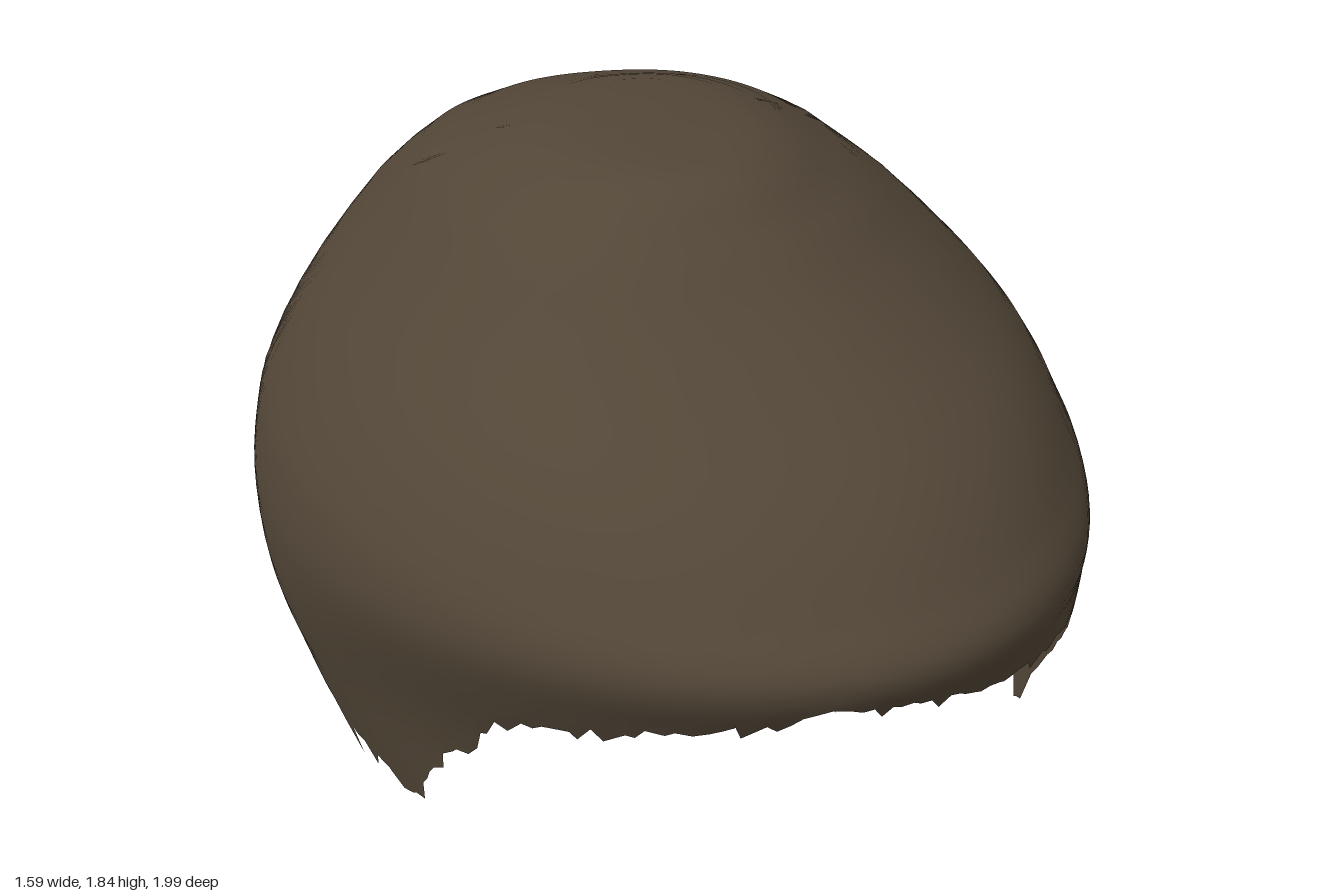
import * as THREE from 'three';

// Horizontal sections from crown to nape: y, right x, left x, front z, back z, centre x, centre z
const LEVELS = [
  [1.838, -0.04, -0.04, 0.05, 0.05, -0.04, 0.05],
  [1.83, -0.2, 0.12, 0.29, -0.2, -0.04, 0.04],
  [1.8, -0.3, 0.22, 0.37, -0.32, -0.04, 0.0],
  [1.72, -0.43, 0.36, 0.46, -0.58, -0.03, -0.06],
  [1.6, -0.54, 0.51, 0.6, -0.78, -0.01, -0.1],
  [1.45, -0.665, 0.65, 0.81, -0.88, 0, -0.1],
  [1.3, -0.755, 0.735, 0.94, -0.945, 0, -0.1],
  [1.21, -0.785, 0.77, 0.995, -0.97, 0, -0.1],
  [1.1, -0.8, 0.79, 0.94, -0.99, 0, -0.1],
  [0.95, -0.79, 0.785, 0.87, -1.0, 0, -0.1],
  [0.8, -0.75, 0.76, 0.83, -0.985, 0, -0.1],
  [0.6, -0.69, 0.71, 0.83, -0.95, 0, -0.1],
  [0.4, -0.63, 0.67, 0.8, -0.89, 0, -0.1],
  [0.2, -0.56, 0.58, 0.75, -0.81, 0, -0.1],
  [0.0, -0.48, 0.48, 0.7, -0.73, 0, -0.1],
];

// Squareness of the sections at crown, brow and ear: front right, front left, back right, back left
const SQUARENESS = [
  [2.35, 2.15, 2.1, 2.45],
  [2.0, 2.0, 2.05, 2.3],
  [1.78, 2.15, 2.1, 2.35],
];

// Hem height by angle from the front, left side positive: brow, sideburn, ear notch, nape
const HEM = [
  [-180, 0.04], [-170, 0.1], [-150, 0.14], [-137, 0.17], [-115, 0.18], [-108, 0.3],
  [-104, 0.46], [-101, 0.61], [-96, 0.73], [-90, 0.78], [-84, 0.74], [-78, 0.68],
  [-71, 0.66], [-64, 0.63], [-56, 0.76], [-48, 0.89], [-42, 1.0], [-30, 1.06],
  [-18, 1.11], [-4, 1.17], [8, 1.14], [20, 1.09], [35, 1.07], [45, 1.03], [51, 0.92],
  [57, 0.79], [65, 0.62], [71, 0.65], [78, 0.68], [84, 0.74], [90, 0.78], [96, 0.73],
  [101, 0.61], [104, 0.46], [108, 0.3], [115, 0.18], [140, 0.16], [150, 0.09],
  [165, 0.06], [180, 0.04],
];

const COLS = 240, ROWS = 30;
const { lerp, clamp, smoothstep, radToDeg } = THREE.MathUtils;

function seeded(seed) {
  return () => (seed = (seed * 16807) % 2147483647) / 2147483647;
}

function hemHeight(deg) {
  const i = Math.max(1, HEM.findIndex(p => p[0] >= deg));
  const [a, b] = [HEM[i - 1], HEM[i]];
  return lerp(a[1], b[1], (deg - a[0]) / (b[0] - a[0]));
}

// Position of a height in the level list, as a fractional index
function levelIndex(y) {
  const last = LEVELS.length - 1;
  let i = 0;
  while (i < last - 1 && LEVELS[i + 1][0] > y) i++;
  return Math.min(last, i + (LEVELS[i][0] - y) / (LEVELS[i][0] - LEVELS[i + 1][0]));
}

// Smooth interpolation between sections, linear in height
function section(u) {
  const last = LEVELS.length - 1;
  const i = Math.min(last - 1, Math.floor(u)), t = u - i;
  const at = k => LEVELS[clamp(k, 0, last)];
  return LEVELS[0].map((_, c) => {
    const [p0, p1, p2, p3] = [at(i - 1)[c], at(i)[c], at(i + 1)[c], at(i + 2)[c]];
    if (c === 0 || i === 0) return p1 + (p2 - p1) * t;
    return p1 + 0.5 * t * (p2 - p0 + t * (2 * p0 - 5 * p1 + 4 * p2 - p3 + t * (3 * (p1 - p2) + p3 - p0)));
  });
}

function squareness(u, s, c) {
  const brow = smoothstep(u, 3, 7), ear = smoothstep(u, 7.5, 9.5);
  const left = smoothstep(s, -0.5, 0.5), front = smoothstep(c, -0.5, 0.5);
  const [fr, fl, br, bl] = SQUARENESS[0].map((top, q) =>
    lerp(lerp(top, SQUARENESS[1][q], brow), SQUARENESS[2][q], ear));
  return lerp(lerp(br, bl, left), lerp(fr, fl, left), front);
}

function surfacePoint(u, theta) {
  const [y, xr, xl, zf, zb, xc, zc] = section(u);
  const s = Math.sin(theta), c = Math.cos(theta);
  const n = squareness(u, s, c);
  const k = (Math.abs(s) ** n + Math.abs(c) ** n) ** (-1 / n);
  // The brow sits slightly towards the left
  const shift = 0.05 * smoothstep(u, 3, 7) * Math.max(0, c) ** 2;
  return [
    xc + (s > 0 ? xl - xc : xc - xr) * s * k + shift,
    y,
    zc + (c > 0 ? zf - zc : zc - zb) * c * k,
  ];
}

function hairGeometry() {
  const rand = seeded(4711);
  const positions = [], index = [];
  for (let j = 0; j < COLS; j++) {
    const theta = (j / COLS) * Math.PI * 2 - Math.PI;
    const deg = radToDeg(theta), side = Math.abs(deg);
    const hem = hemHeight(deg);
    // Ragged strand tips along the hem, pointing forward behind the ears
    const ragged = side > 60 && side < 100 ? 0.09 : 0.045;
    const spike = rand() < 0.35 ? rand() * ragged : rand() * 0.015;
    const swing = side > 98 && side < 116
      ? -Math.sign(deg) * rand() ** 2 * 0.09
      : (rand() - 0.5) * 0.02;
    const end = levelIndex(hem + 0.015);
    const tip = levelIndex(j === 0 ? 0 : Math.max(0, hem - spike));
    for (let i = 0; i <= ROWS; i++) {
      const isTip = i === ROWS;
      const u = isTip ? tip : (end * i) / (ROWS - 1);
      positions.push(...surfacePoint(u, isTip ? theta + swing : theta));
    }
  }
  const w = ROWS + 1;
  for (let j = 0; j < COLS; j++) {
    const next = (j + 1) % COLS;
    for (let i = 0; i < ROWS; i++) {
      const a = j * w + i, b = next * w + i;
      if (i > 0) index.push(a, a + 1, b);
      index.push(b, a + 1, b + 1);
    }
  }
  const geometry = new THREE.BufferGeometry();
  geometry.setAttribute('position', new THREE.Float32BufferAttribute(positions, 3));
  geometry.setIndex(index);
  geometry.computeVertexNormals();
  // All crown vertices meet at one point and share an upward normal
  for (let j = 0; j < COLS; j++) geometry.attributes.normal.setXYZ(j * w, 0, 1, 0);
  return geometry;
}

export function createModel() {
  const group = new THREE.Group();
  group.name = 'hairpiece';
  const darkBrown = new THREE.MeshStandardMaterial({ color: 0x524637, side: THREE.DoubleSide });
  darkBrown.name = 'dark brown hair';
  const hair = new THREE.Mesh(hairGeometry(), darkBrown);
  hair.name = 'hairShell';
  group.add(hair);
  return group;
}
